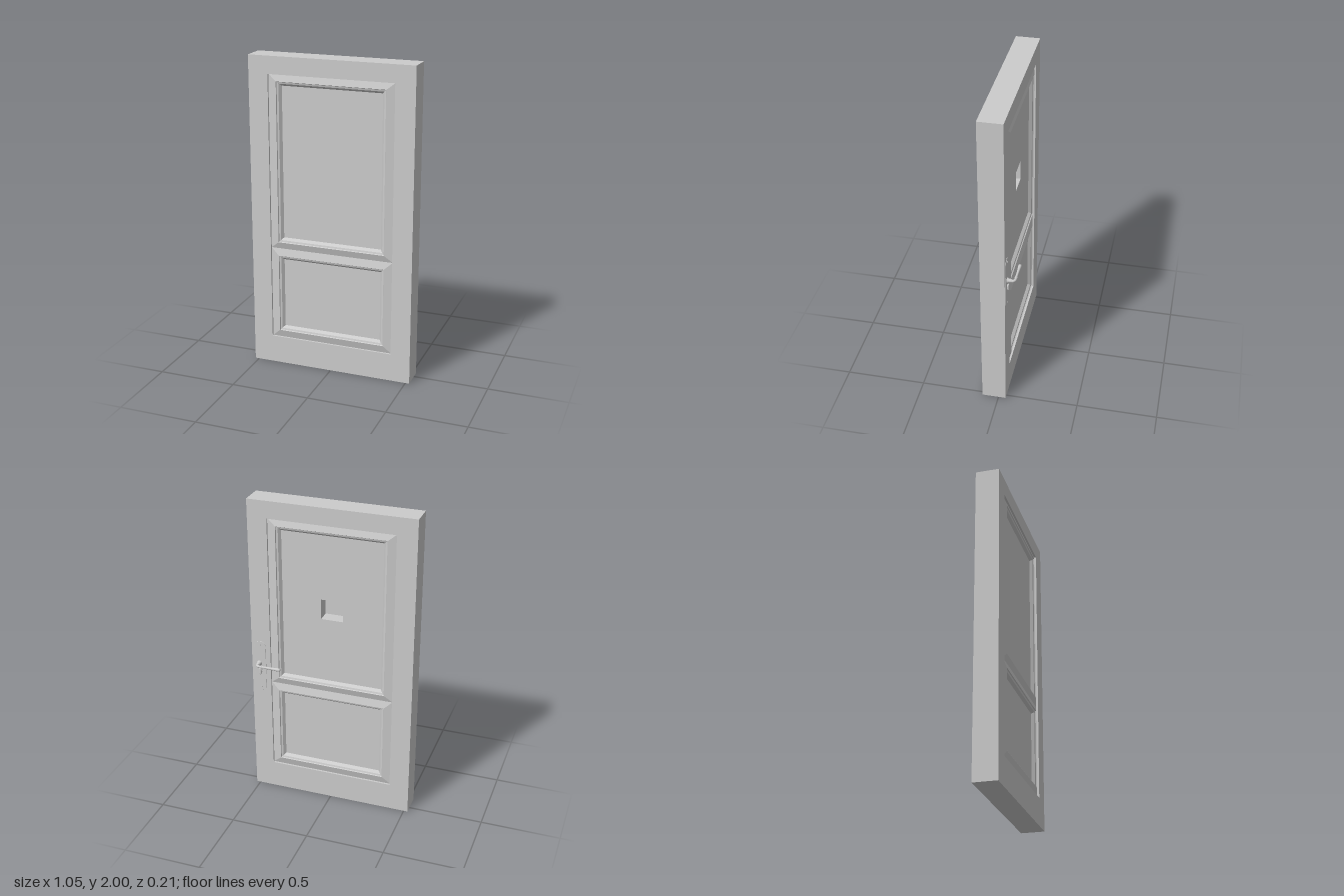
import * as THREE from 'three';

const material = new THREE.MeshStandardMaterial({ color: 0xcccccc });
const doubleSided = new THREE.MeshStandardMaterial({ color: 0xcccccc, side: THREE.DoubleSide });

function add(parent, name, geometry, x = 0, y = 0, z = 0, mat = material) {
  const mesh = new THREE.Mesh(geometry, mat);
  mesh.name = name;
  mesh.position.set(x, y, z);
  parent.add(mesh);
  return mesh;
}

// Joins rectangles [halfWidth, bottom, top, z] into one faceted skin, optionally closing the last.
function rectLoft(rects, closed) {
  const out = [];
  const loops = rects.map(([w, b, t, z]) => [[-w, b, z], [w, b, z], [w, t, z], [-w, t, z]]);
  const quad = (a, b, c, d) => out.push(...a, ...b, ...c, ...a, ...c, ...d);
  for (let k = 0; k + 1 < loops.length; k++) {
    for (let i = 0; i < 4; i++) {
      const j = (i + 1) % 4;
      quad(loops[k][i], loops[k][j], loops[k + 1][j], loops[k + 1][i]);
    }
  }
  if (closed) quad(...loops[loops.length - 1]);
  const geometry = new THREE.BufferGeometry();
  geometry.setAttribute('position', new THREE.Float32BufferAttribute(out, 3));
  geometry.computeVertexNormals();
  return geometry;
}

// One half of the door thickness, facing +z
function doorFace(name, windowHole) {
  const face = new THREE.Group();
  face.name = name;

  // Outer edge, flat stiles and the small step down to the moulding
  add(face, 'frame', rectLoft([
    [0.525, 0, 2, 0], [0.525, 0, 2, 0.075],
    [0.4, 0.18, 1.89, 0.075], [0.4, 0.18, 1.89, 0.062],
  ]));

  // Moulding rises inward, then drops to the sunk panel
  const panel = (panelName, bottom, top, openBottom, openTop, hole) => {
    const inset = (d, z) => [0.347 - d, openBottom + d, openTop - d, z];
    const rects = [[0.4, bottom, top, 0.062], inset(0, 0.075), inset(0.003, 0.069),
      inset(0.014, 0.066), inset(0.028, 0.048)];
    if (hole) rects.push([0.07, 1.275, 1.405, 0.048], [0.07, 1.275, 1.405, -0.035]);
    add(face, panelName, rectLoft(rects, true));
  };
  panel('upperPanel', 0.785, 1.89, 0.828, 1.848, windowHole);
  panel('lowerPanel', 0.18, 0.785, 0.228, 0.738, false);
  return face;
}

// Handle set, built facing +z around the plate
function doorHandle() {
  const handle = new THREE.Group();
  handle.name = 'handle';

  // Long plate with round ends
  const r = 0.036, half = 0.175 - r;
  const outline = new THREE.Shape();
  outline.absarc(0, half, r, 0, Math.PI);
  outline.absarc(0, -half, r, Math.PI, Math.PI * 2);
  outline.closePath();
  add(handle, 'backPlate', new THREE.ExtrudeGeometry(outline, {
    depth: 0.002, bevelEnabled: true, bevelSize: 0.001, bevelThickness: 0.001, bevelSegments: 1, curveSegments: 12,
  }));
  for (const y of [-0.15, 0.15]) {
    add(handle, 'screw', new THREE.CylinderGeometry(0.006, 0.006, 0.002, 12).rotateX(Math.PI / 2), 0, y, 0.004);
  }

  // Collar, neck and bend of the lever
  const leverY = 0.02;
  const collar = [[0.017, 0], [0.017, 0.006], [0.012, 0.012], [0.013, 0.022], [0.009, 0.032]];
  add(handle, 'collar', new THREE.LatheGeometry(collar.map(p => new THREE.Vector2(...p)), 20).rotateX(Math.PI / 2),
    -0.007, leverY, 0.002, doubleSided);
  const bend = new THREE.CatmullRomCurve3([
    [-0.007, 0.025], [-0.008, 0.038], [0, 0.048], [0.014, 0.051], [0.035, 0.051],
  ].map(([x, z]) => new THREE.Vector3(x, leverY, z)));
  add(handle, 'leverBend', new THREE.TubeGeometry(bend, 20, 0.0085, 14), 0, 0, 0, doubleSided);

  // Grip swells toward its rounded tip
  const grip = [[0, 0], [0.0095, 0], [0.0095, 0.005], [0.007, 0.006], [0.0075, 0.05], [0.0095, 0.09],
    [0.0112, 0.11], [0.0105, 0.121], [0.006, 0.127], [0, 0.128]];
  add(handle, 'leverGrip', new THREE.LatheGeometry(grip.map(p => new THREE.Vector2(...p)), 18).rotateZ(-Math.PI / 2),
    0.025, leverY, 0.051);

  // Keyhole turn below the lever
  add(handle, 'lockBase', new THREE.CylinderGeometry(0.012, 0.012, 0.005, 18).rotateX(Math.PI / 2), 0, -0.03, 0.004);
  add(handle, 'lockTurn', new THREE.CapsuleGeometry(0.008, 0.03, 6, 14).scale(1, 1, 0.8), 0, -0.035, 0.009);
  return handle;
}

export function createModel() {
  const model = new THREE.Group();
  model.name = 'door';

  const front = doorFace('frontFace', false);
  const back = doorFace('backFace', true);
  back.rotation.y = Math.PI;
  front.position.z = back.position.z = 0.029;

  const handle = doorHandle();
  handle.rotation.y = Math.PI;
  handle.position.set(0.468, 0.895, -0.046);

  model.add(front, back, handle);
  return model;
}
